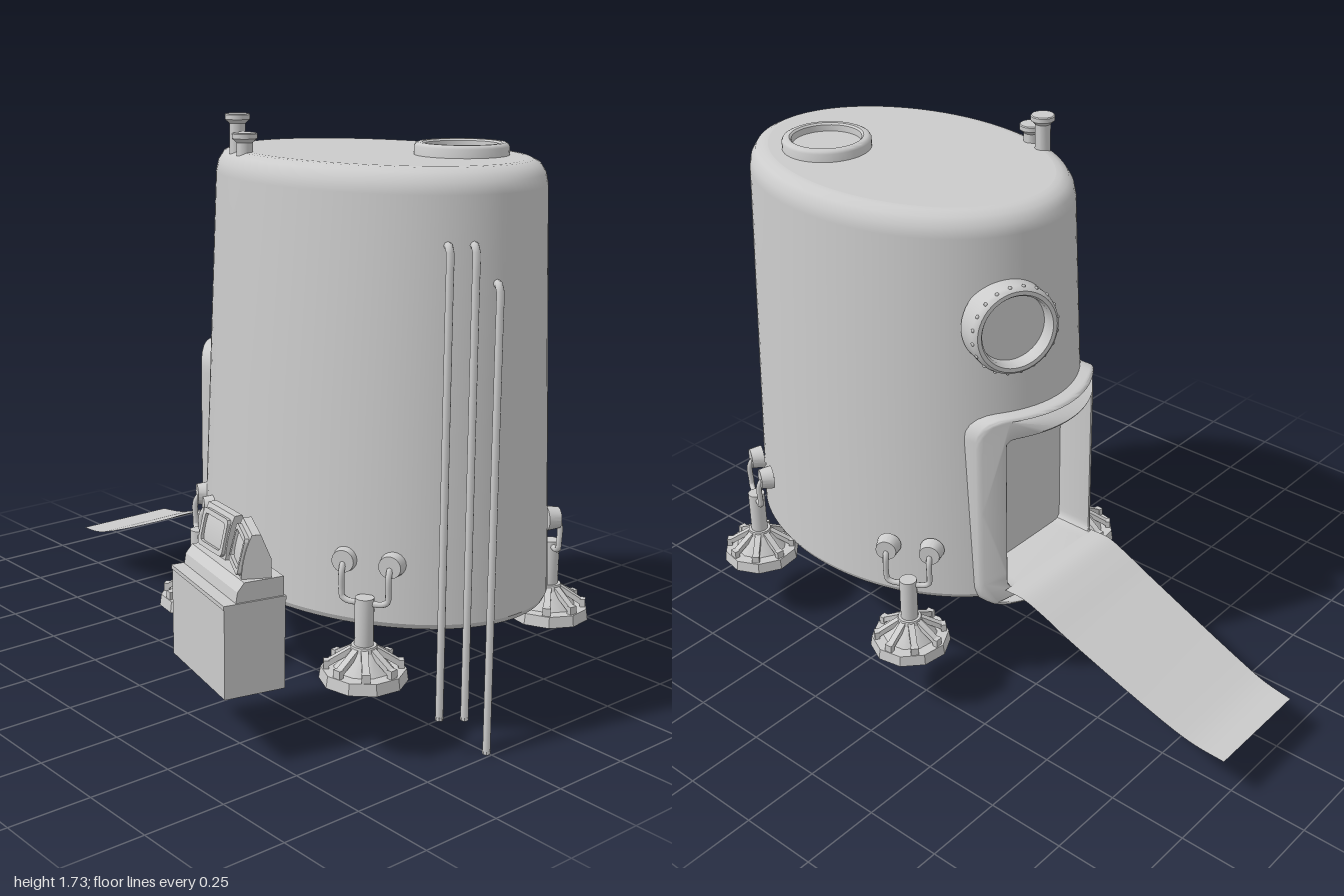
import * as THREE from 'three';
import { toCreasedNormals } from 'three/addons/utils/BufferGeometryUtils.js';

const CX = 0.36, CZ = -0.12;   // centre of the oval cabin
const STRETCH = 0.152;         // extra half-length of the oval along x
const grey = new THREE.MeshStandardMaterial({ color: 0xcccccc, side: THREE.DoubleSide });
const V = (x, y, z) => new THREE.Vector3(x, y, z);

function add(parent, name, geo, x = 0, y = 0, z = 0) {
  const m = new THREE.Mesh(geo, grey);
  m.name = name;
  m.position.set(x, y, z);
  parent.add(m);
  return m;
}
function group(parent, name, x, y, z) {
  const g = new THREE.Group();
  g.name = name;
  g.position.set(x, y, z);
  parent.add(g);
  return g;
}
const lathe = (pts, seg = 40) =>
  toCreasedNormals(new THREE.LatheGeometry(pts.map(p => new THREE.Vector2(...p)), seg), 0.6);
const cyl = (r1, r2, h, seg = 16) => toCreasedNormals(new THREE.CylinderGeometry(r1, r2, h, seg), 0.55);
function moveVertices(geo, rule) {
  const p = geo.attributes.position;
  for (let i = 0; i < p.count; i++) p.setXYZ(i, ...rule(p.getX(i), p.getY(i), p.getZ(i)));
  return geo;
}
function tube(points, r, seg = 24) {
  return new THREE.TubeGeometry(new THREE.CatmullRomCurve3(points, false, 'centripetal'), seg, r, 8);
}

// Oval hollow shell: a lathe widened along x, with the doorway cut out
function shellGeometry() {
  const profile = [[0, 1.59], [0.35, 1.59], [0.385, 1.53], [0.408, 0.96], [0.43, 0.36], [0.43, 0.36],
    [0.441, 0.36], [0.441, 0.36], [0.448, 0.375], [0.448, 0.375], [0.4255, 0.96], [0.403, 1.55],
    [0.396, 1.582], [0.38, 1.607], [0.358, 1.618], [0.342, 1.62], [0.342, 1.62], [0, 1.62]];
  const geo = new THREE.LatheGeometry(profile.map(p => new THREE.Vector2(...p)), 96);
  const p = geo.attributes.position, n = geo.attributes.normal;
  for (let i = 0; i < p.count; i++) {
    const r = Math.hypot(p.getX(i), p.getZ(i));
    if (r < 1e-4) continue;
    const k = (r + STRETCH) / r;
    p.setX(i, p.getX(i) * k);
    const v = V(n.getX(i) / k, n.getY(i), n.getZ(i)).normalize();
    n.setXYZ(i, v.x, v.y, v.z);
  }
  const src = geo.index.array, kept = [];
  for (let i = 0; i < src.length; i += 3) {
    const t = [src[i], src[i + 1], src[i + 2]];
    const mean = f => (f(t[0]) + f(t[1]) + f(t[2])) / 3;
    const inDoor = mean(j => p.getX(j)) < 0 && mean(j => p.getY(j)) < 0.96 && Math.abs(mean(j => p.getZ(j))) < 0.215;
    if (!inDoor) kept.push(...t);
  }
  geo.setIndex(kept);
  return geo;
}

// Rounded rectangle outline with evenly spaced points, so that it can be bent
function roundedOutline(w, y0, y1, r, n) {
  const s = new THREE.Shape();
  s.moveTo(-w + r, y0).lineTo(w - r, y0).quadraticCurveTo(w, y0, w, y0 + r);
  s.lineTo(w, y1 - r).quadraticCurveTo(w, y1, w - r, y1);
  s.lineTo(-w + r, y1).quadraticCurveTo(-w, y1, -w, y1 - r);
  s.lineTo(-w, y0 + r).quadraticCurveTo(-w, y0, -w + r, y0);
  return s.getSpacedPoints(n).slice(0, -1);
}

// Door surround whose outer face follows the oval wall
function doorFrameGeometry() {
  const shape = new THREE.Shape(roundedOutline(0.26, 0.34, 0.99, 0.07, 110));
  shape.holes.push(new THREE.Path(roundedOutline(0.21, 0.39, 0.935, 0.03, 90)));
  const geo = new THREE.ExtrudeGeometry(shape, { depth: 0.8, bevelThickness: 0.1, bevelSize: 0.01, bevelSegments: 3 });
  moveVertices(geo, (u, v, w) => {
    const front = CX - 0.625 * Math.sqrt(1 - (u / 0.45) ** 2);
    return [THREE.MathUtils.lerp(-0.065, front, (w + 0.1) / 1), v, CZ + u];
  });
  return toCreasedNormals(geo, 0.7);
}

// Curved thin ramp
function rampGeometry() {
  const path = new THREE.CatmullRomCurve3([V(-0.2, 0.4, 0.215), V(-0.27, 0.4, 0.215), V(-0.35, 0.372, 0.212),
    V(-0.44, 0.332, 0.21), V(-0.8, 0.192, 0.194), V(-0.9, 0.162, 0.187), V(-1, 0.15, 0.18)]);
  const geo = new THREE.PlaneGeometry(1, 2, 32, 1);
  moveVertices(geo, (u, v) => {
    const p = path.getPoint(0.5 - u);
    return [p.x, p.y, -0.125 + v * p.z];
  });
  geo.computeVertexNormals();
  return geo;
}

// Round window or hatch: raised ring, sunken pane and rim bolts, facing +y
function roundHatch(parent, name, h, bolts) {
  const g = group(parent, name, 0, 0, 0);
  add(g, 'ring', lathe([[0.135, -0.03], [0.135, h * 0.7], [0.131, h * 0.9], [0.124, h], [0.112, h],
    [0.106, h * 0.85], [0.104, h * 0.3], [0.104, -0.03]], 48));
  add(g, 'pane', new THREE.CircleGeometry(0.106, 48).rotateX(-Math.PI / 2), 0, h * 0.3, 0);
  for (let i = 0; i < bolts; i++) {
    const a = i / bolts * Math.PI * 2;
    add(g, 'bolt', new THREE.SphereGeometry(0.006, 8, 6), 0.133 * Math.cos(a), h * 0.75, 0.133 * Math.sin(a));
  }
  return g;
}

// Support leg; local +z points away from the cabin
function addLeg(parent, x, z) {
  const g = group(parent, 'supportLeg', x, 0, z);
  g.rotation.y = Math.atan2(0.48 * Math.sign(x - CX), 0.88 * Math.sign(z - CZ));
  add(g, 'footPlate', cyl(0.12, 0.125, 0.034, 10), 0, 0.227, 0);
  add(g, 'footCone', cyl(0.04, 0.085, 0.055, 10), 0, 0.27, 0);
  add(g, 'footCollar', cyl(0.036, 0.042, 0.025), 0, 0.3, 0);
  for (let i = 0; i < 8; i++) {
    const arm = group(g, 'footRib', 0, 0, 0);
    arm.rotation.y = (i + 0.5) * Math.PI / 4;
    add(arm, 'rib', new THREE.BoxGeometry(0.085, 0.016, 0.02), 0.066, 0.279, 0).rotation.z = -0.55;
    add(arm, 'ribEnd', new THREE.BoxGeometry(0.016, 0.026, 0.024), 0.104, 0.255, 0);
  }
  add(g, 'column', cyl(0.027, 0.027, 0.17), 0, 0.365, 0);
  for (const s of [-1, 1]) {
    add(g, 'bracketArm', tube([V(0, 0.435, 0), V(s * 0.05, 0.435, 0), V(s * 0.066, 0.445, 0), V(s * 0.068, 0.46, 0),
      V(s * 0.068, 0.52, 0), V(s * 0.068, 0.54, -0.015), V(s * 0.068, 0.543, -0.05)], 0.009));
    add(g, 'wallMount', cyl(0.032, 0.038, 0.04, 20).rotateX(Math.PI / 2), s * 0.068, 0.543, -0.025);
  }
}

// Control desk with two screens
function addConsole(parent) {
  const g = group(parent, 'console', 0.457, 0, 0.508);
  g.rotation.y = -0.227;
  const cabinet = new THREE.BoxGeometry(0.357, 0.26, 0.182);
  cabinet.setIndex([...cabinet.index.array].filter((_, i) => i < 18 || i >= 24)); // open underneath
  add(g, 'cabinet', cabinet, 0, 0.34, 0);
  add(g, 'deskTop', new THREE.BoxGeometry(0.361, 0.012, 0.186), 0, 0.474, 0);
  const slab = new THREE.Shape([[-0.088, 0.48], [0.055, 0.48], [0.05, 0.51], [0.03, 0.535], [-0.088, 0.535]]
    .map(p => new THREE.Vector2(...p)));
  add(g, 'screenBase', new THREE.ExtrudeGeometry(slab, { depth: 0.35, bevelEnabled: false })
    .translate(0, 0, -0.175).rotateY(-Math.PI / 2).scale(1, 1, 1));
  for (const s of [-1, 1]) {
    const m = group(g, 'screen', s * 0.086, 0.53, -0.035);
    m.rotation.y = s < 0 ? 0.06 : -0.28;
    const side = new THREE.Shape();
    side.moveTo(-0.04, 0).lineTo(0.042, 0).quadraticCurveTo(0.04, 0.07, 0.012, 0.128);
    side.lineTo(-0.012, 0.128).lineTo(-0.04, 0.06);
    add(m, 'screenCase', toCreasedNormals(new THREE.ExtrudeGeometry(side, { depth: 0.156, bevelEnabled: false })
      .translate(0, 0, -0.078).rotateY(-Math.PI / 2), 0.5));
    const bezel = new THREE.Shape(roundedOutline(0.072, -0.054, 0.054, 0.015, 48));
    bezel.holes.push(new THREE.Path(roundedOutline(0.058, -0.04, 0.04, 0.01, 40)));
    add(m, 'bezel', new THREE.ExtrudeGeometry(bezel, { depth: 0.012, bevelEnabled: false }), 0, 0.063, 0.03)
      .rotation.x = -0.23;
  }
}

export function createModel() {
  const model = new THREE.Group();
  model.name = 'cabin';
  add(model, 'shell', shellGeometry(), CX, 0, CZ);

  // Entrance
  add(model, 'doorFrame', doorFrameGeometry());
  add(model, 'doorPanel', new THREE.BoxGeometry(0.012, 0.57, 0.43), -0.065, 0.665, CZ);
  add(model, 'ramp', rampGeometry());

  // Side window and roof hatch
  const porthole = roundHatch(model, 'porthole', 0.06, 20);
  porthole.position.set(-0.168, 1.285, -0.28);
  porthole.quaternion.setFromUnitVectors(V(0, 1, 0), V(-0.91, 0.03, -0.41).normalize());
  roundHatch(model, 'roofHatch', 0.035, 0).position.set(0.59, 1.62, -0.235);

  // Roof vents
  for (const [x, z, top] of [[0.085, 0.175, 1.725], [0.15, 0.2, 1.675]]) {
    const h = top - 1.6;
    add(model, 'roofVent', lathe([[0.024, 0], [0.024, h - 0.028], [0.037, h - 0.016], [0.037, h - 0.003],
      [0.034, h], [0, h]], 24), x, 1.6, z);
  }

  // Hanging pipes on the end wall: top x, y, z then bottom x, y, z
  for (const [x, y, z, bx, by, bz] of [[0.87, 1.43, 0.085, 0.912, 0.11, 0.122],
    [0.907, 1.43, 0.025, 0.955, 0.11, 0.067], [0.94, 1.325, -0.035, 0.985, 0, 0.006]]) {
    add(model, 'pipe', tube([V(x - 0.05, y - 0.012, z - 0.025), V(x - 0.02, y - 0.01, z - 0.01),
      V(x - 0.004, y - 0.018, z - 0.002), V(x, y - 0.04, z), V(x + 0.003, y - 0.12, z + 0.003),
      V(bx, by, bz)], 0.0115, 64));
    add(model, 'pipeEnd', cyl(0.0115, 0.0115, 0.01, 8), bx, by + 0.005, bz);
  }

  for (const [x, z] of [[-0.01, 0.26], [0.74, 0.25], [0.02, -0.54], [0.74, -0.515]]) addLeg(model, x, z);
  addConsole(model);
  return model;
}
